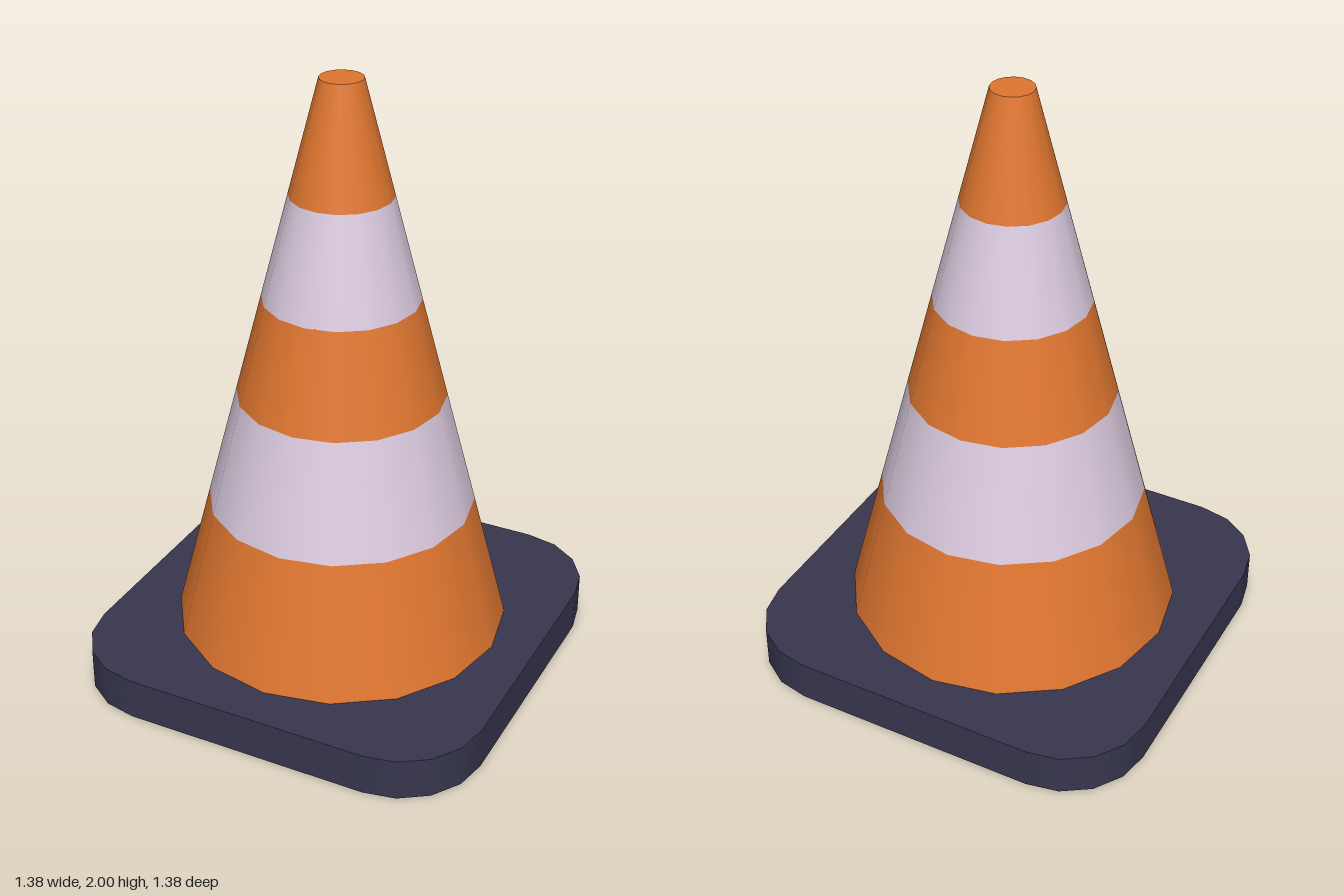
import * as THREE from 'three';

export function createModel() {
  const group = new THREE.Group();
  const material = (name, color) => {
    const m = new THREE.MeshStandardMaterial({ color });
    m.name = name;
    return m;
  };
  const orange = material('orange', 0xdf7630);
  const white = material('paleLilac', 0xdacade);
  const navy = material('darkNavy', 0x37364f);

  const add = (name, geometry, mat) => {
    const mesh = new THREE.Mesh(geometry, mat);
    mesh.name = name;
    group.add(mesh);
  };

  // Square base plate with two-segment rounded corners
  const half = 0.688, inner = 0.412, height = 0.14, r = half - inner;
  const outline = new THREE.Shape();
  outline.moveTo(half, -inner);
  [[1, 1], [-1, 1], [-1, -1], [1, -1]].forEach(([sx, sy], i) => {
    const a = i * Math.PI / 2;
    outline.absarc(sx * inner, sy * inner, r, a, a + Math.PI / 2, false);
  });
  const base = new THREE.ExtrudeGeometry(outline, { depth: height, bevelEnabled: false, curveSegments: 2 });
  base.rotateX(-Math.PI / 2);

  // Round the shading of the base rim, keeping its straight sides flat
  const pos = base.attributes.position, nor = base.attributes.normal;
  const n = new THREE.Vector3();
  for (let i = 0; i < pos.count; i++) {
    if (Math.abs(nor.getY(i)) > 0.5) continue;
    const x = pos.getX(i), z = pos.getZ(i);
    n.set(x - THREE.MathUtils.clamp(x, -inner, inner), 0, z - THREE.MathUtils.clamp(z, -inner, inner)).normalize();
    nor.setXYZ(i, n.x, 0, n.z);
  }
  add('basePlate', base, navy);

  // Tapered body, stacked from alternating colour bands
  const levels = [height, 0.58, 0.96, 1.292, 1.632, 2];
  const radiusAt = y => THREE.MathUtils.mapLinear(y, height, 2, 0.55, 0.069);
  const names = ['lowerBody', 'lowerStripe', 'middleBody', 'upperStripe', 'tip'];
  names.forEach((name, i) => {
    const y0 = levels[i], y1 = levels[i + 1];
    const band = new THREE.CylinderGeometry(radiusAt(y1), radiusAt(y0), y1 - y0, 16, 1, true);
    band.translate(0, (y0 + y1) / 2, 0);
    add(name, band, i % 2 ? white : orange);
  });

  // Flat top
  const cap = new THREE.CircleGeometry(radiusAt(2), 16);
  cap.rotateX(-Math.PI / 2).translate(0, 2, 0);
  add('topCap', cap, orange);

  return group;
}
